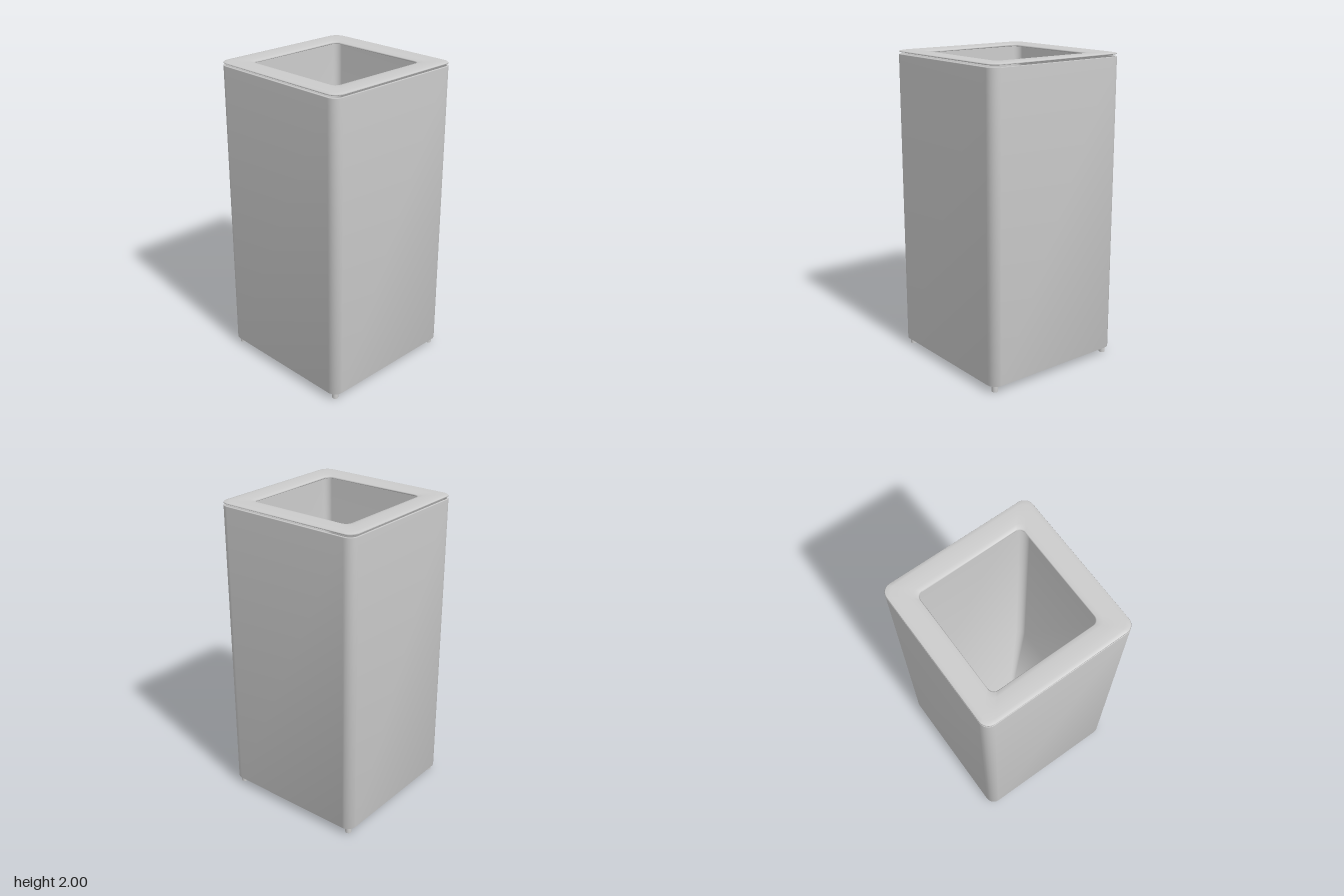
import * as THREE from 'three';

const material = new THREE.MeshStandardMaterial({ color: 0xcccccc, side: THREE.DoubleSide });
const CORNER_STEPS = 6;

// Points of a rounded square, running from +x towards +z
function roundedSquare(half, radius, y) {
  const points = [];
  for (let corner = 0; corner < 4; corner++) {
    const mid = Math.PI / 4 + corner * Math.PI / 2;
    const cx = Math.sign(Math.cos(mid)) * (half - radius);
    const cz = Math.sign(Math.sin(mid)) * (half - radius);
    for (let s = 0; s <= CORNER_STEPS; s++) {
      const a = (corner + s / CORNER_STEPS) * Math.PI / 2;
      points.push(cx + radius * Math.cos(a), y, cz + radius * Math.sin(a));
    }
  }
  return points;
}

// Skins rounded squares given as [half width, corner radius, height]
function loft(name, sections, closed = false) {
  const n = 4 * (CORNER_STEPS + 1);
  const positions = sections.flatMap((s) => roundedSquare(...s));
  const index = [];
  const rows = closed ? sections.length : sections.length - 1;
  for (let i = 0; i < rows; i++) {
    const next = (i + 1) % sections.length;
    for (let j = 0; j < n; j++) {
      const k = (j + 1) % n;
      const a = i * n + j, b = next * n + j, c = i * n + k, d = next * n + k;
      index.push(a, b, c, b, d, c);
    }
  }
  const geometry = new THREE.BufferGeometry();
  geometry.setAttribute('position', new THREE.Float32BufferAttribute(positions, 3));
  geometry.setIndex(index);
  geometry.computeVertexNormals();
  const mesh = new THREE.Mesh(geometry, material);
  mesh.name = name;
  return mesh;
}

export function createModel() {
  const group = new THREE.Group();
  group.name = 'squareBin';

  // Hollow body: underside, outer wall, top edge, inner wall, floor
  group.add(loft('body', [
    [0, 0, 0.045],
    [0.5, 0.06, 0.045],
    [0.5, 0.06, 1.973],
    [0.497, 0.057, 1.976],
    [0.49, 0.05, 1.976],
    [0.488, 0.048, 1.973],
    [0.488, 0.048, 0.057],
    [0, 0, 0.057],
  ]));

  // Thin softly domed rim with a square opening
  group.add(loft('rim', [
    [0.5, 0.06, 1.991],
    [0.497, 0.06, 1.996],
    [0.475, 0.055, 2.0],
    [0.43, 0.05, 2.0],
    [0.385, 0.045, 1.998],
    [0.36, 0.04, 1.993],
    [0.355, 0.04, 1.987],
    [0.36, 0.04, 1.982],
    [0.43, 0.05, 1.978],
    [0.455, 0.055, 1.985],
    [0.495, 0.06, 1.988],
  ], true));

  // Four short feet
  for (const x of [-1, 1]) {
    for (const z of [-1, 1]) {
      const foot = new THREE.Mesh(new THREE.CylinderGeometry(0.02, 0.02, 0.05, 16), material);
      foot.name = `${z > 0 ? 'front' : 'back'}${x > 0 ? 'Left' : 'Right'}Foot`;
      foot.position.set(x * 0.457, 0.025, z * 0.457);
      group.add(foot);
    }
  }
  return group;
}
